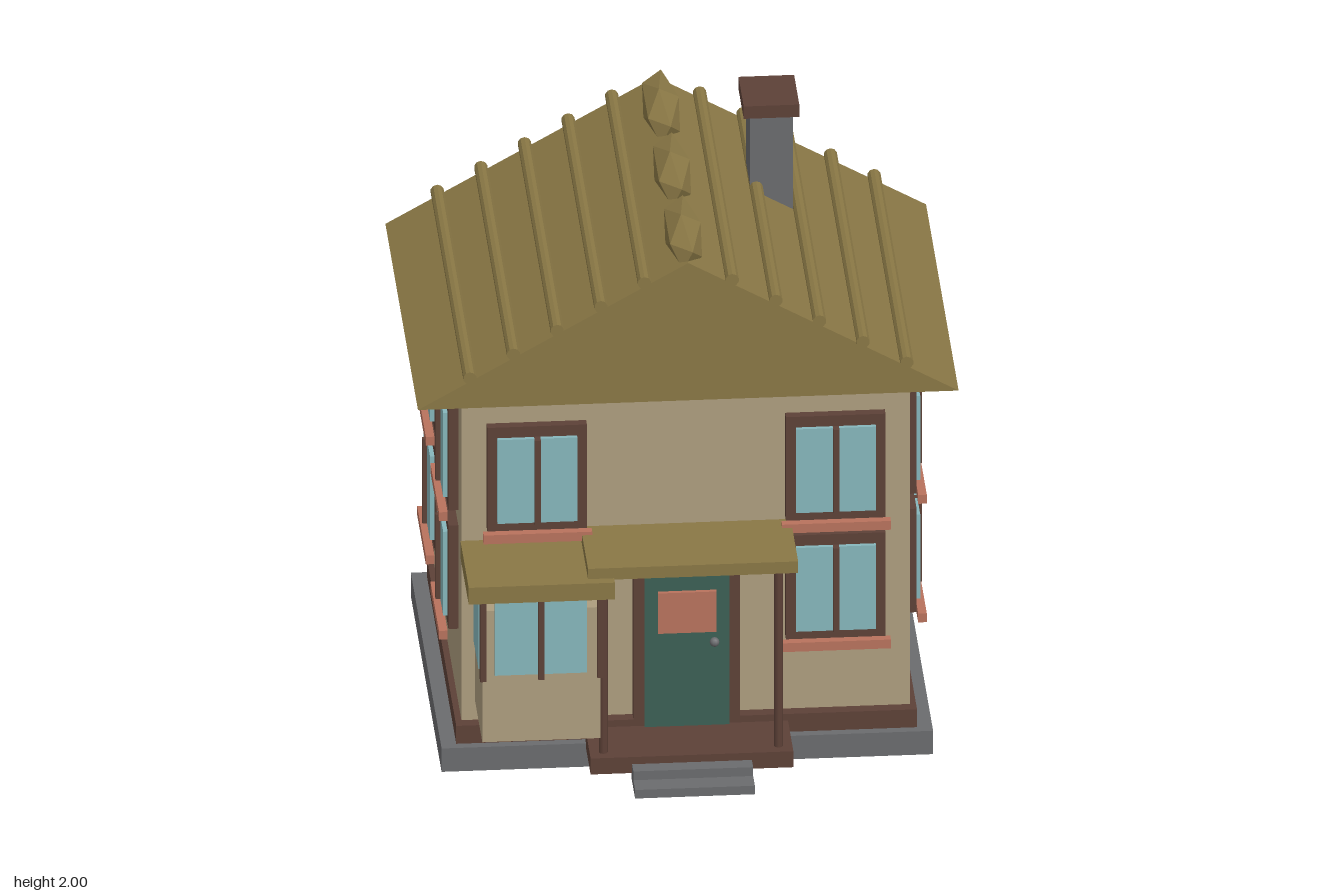
import * as THREE from 'three';

const mat = (name, color, extra = {}) => {
  const m = new THREE.MeshStandardMaterial({ color, ...extra });
  m.name = name;
  return m;
};

export function createModel() {
  const wall = mat('plaster', 0xad9d7e);
  const roofing = mat('roofing', 0x897745, { flatShading: true });
  const wood = mat('dark wood', 0x5d4137);
  const glass = mat('glass', 0x86b6bb);
  const green = mat('green', 0x3c5f54, { flatShading: true });
  const coral = mat('coral', 0xb8725d, { flatShading: true });
  const stone = mat('stone', 0x6a6b6e);
  const slate = mat('slate metal', 0x30434b);

  const house = new THREE.Group();
  house.name = 'house';

  const add = (parent, name, geo, material, x = 0, y = 0, z = 0) => {
    const m = new THREE.Mesh(geo, material);
    m.name = name;
    m.position.set(x, y, z);
    parent.add(m);
    return m;
  };
  // Box given by its limits on each axis
  const box = (parent, name, material, x0, x1, y0, y1, z0, z1) =>
    add(parent, name, new THREE.BoxGeometry(x1 - x0, y1 - y0, z1 - z0), material,
      (x0 + x1) / 2, (y0 + y1) / 2, (z0 + z1) / 2);
  const group = (name, parent = house) => {
    const g = new THREE.Group();
    g.name = name;
    parent.add(g);
    return g;
  };

  // Base and walls
  box(house, 'foundation', stone, -0.8, 0.8, 0, 0.085, -0.63, 0.63);
  box(house, 'baseboard', wood, -0.75, 0.75, 0.085, 0.15, -0.6, 0.6);
  box(house, 'walls', wall, -0.73, 0.73, 0.15, 1.345, -0.56, 0.56);

  // Gabled roof
  const gable = new THREE.Shape([[-0.88, 1.34], [0.88, 1.34], [0, 1.84]].map(p => new THREE.Vector2(...p)));
  add(house, 'roof', new THREE.ExtrudeGeometry(gable, { depth: 1.334, bevelEnabled: false }), roofing, 0, 0, -0.667);

  // Battens running along both slopes
  const batten = new THREE.CylinderGeometry(0.022, 0.022, 1.345, 10).rotateX(Math.PI / 2);
  for (const s of [-1, 1])
    for (let i = 0; i < 5; i++)
      add(house, 'roofBatten', batten, roofing, s * (0.143 + i * 0.142), 1.775 - i * 0.081, 0);

  // Faceted ridge caps
  for (const z of [-0.45, 0, 0.45]) {
    const cap = add(house, 'ridgeCap', new THREE.IcosahedronGeometry(0.068, 0), roofing, 0, 1.84, z);
    cap.rotation.z = -0.45;
    cap.scale.z = 3.55;
  }

  // Chimney
  box(house, 'chimney', stone, 0.265, 0.405, 1.5, 1.96, -0.31, -0.14);
  box(house, 'chimneyCap', wood, 0.243, 0.424, 1.955, 2.0, -0.333, -0.12);

  // Windows, built facing +z and then turned to their wall
  const addWindow = (x, y, z, turn) => {
    const g = group('window');
    box(g, 'windowFrame', wood, -0.162, 0.162, -0.19, 0.187, 0, 0.032);
    for (const s of [-1, 1])
      add(g, 'windowPane', new THREE.BoxGeometry(0.12, 0.305, 0.015), glass, s * 0.07, -0.004, 0.039);
    box(g, 'windowMullion', wood, -0.01, 0.01, -0.157, 0.149, 0.03, 0.062);
    box(g, 'windowSill', coral, -0.177, 0.177, -0.22, -0.188, 0.036, 0.064);
    g.position.set(x, y, z);
    g.rotation.y = turn;
  };
  for (const y of [1.04, 0.608]) {
    for (const s of [-1, 1]) {
      for (const z of [-0.27, 0.27]) addWindow(s * 0.73, y, z, s * Math.PI / 2);
      addWindow(s * 0.486, y, -0.56, Math.PI);
      if (y > 1 || s > 0) addWindow(s * 0.486, y, 0.56, 0);
    }
  }

  // Entrances, the same at front and back
  const addEntrance = (name, turn) => {
    const g = group(name);
    box(g, 'doorFrame', wood, -0.173, 0.173, 0.12, 0.78, 0.56, 0.6);
    box(g, 'door', green, -0.138, 0.138, 0.13, 0.735, 0.6, 0.618);
    box(g, 'doorPanel', coral, -0.095, 0.095, 0.475, 0.622, 0.618, 0.632);
    add(g, 'doorKnob', new THREE.SphereGeometry(0.016, 10, 8), stone, 0.088, 0.44, 0.635);
    box(g, 'porchFloor', wood, -0.33, 0.33, 0.068, 0.126, 0.585, 0.82);
    box(g, 'upperStep', stone, -0.195, 0.195, 0.068, 0.1, 0.72, 0.872);
    box(g, 'lowerStep', stone, -0.195, 0.195, 0.037, 0.068, 0.8, 0.942);
    box(g, 'canopy', roofing, -0.342, 0.342, 0.798, 0.84, 0.56, 0.865);
    for (const s of [-1, 1])
      add(g, 'porchPost', new THREE.CylinderGeometry(0.015, 0.015, 0.68, 8), wood, s * 0.285, 0.465, 0.775);
    g.rotation.y = turn;
  };
  addEntrance('frontEntrance', 0);
  addEntrance('backEntrance', Math.PI);

  // Bay window beside the front door
  const bay = group('bayWindow');
  box(bay, 'bayWall', wall, -0.685, -0.3, 0.215, 0.692, 0.55, 0.85);
  box(bay, 'bayRoof', roofing, -0.733, -0.257, 0.742, 0.803, 0.56, 0.897);
  box(bay, 'bayFrontGlass', glass, -0.645, -0.345, 0.46, 0.738, 0.85, 0.859);
  for (const x of [-0.69, -0.3])
    box(bay, 'baySideGlass', glass, x - 0.004, x + 0.006, 0.46, 0.73, 0.6, 0.805);
  for (const x of [-0.684, -0.495, -0.303])
    box(bay, 'bayMullion', wood, x - 0.01, x + 0.01, 0.45, 0.745, 0.858, 0.882);

  // Planter with three flowering shrubs
  const planter = group('planter');
  box(planter, 'planterBox', wood, -0.74, -0.37, 0.09, 0.212, -0.86, -0.63);
  for (const x of [-0.66, -0.555, -0.45]) {
    add(planter, 'shrub', new THREE.IcosahedronGeometry(0.062, 0), green, x, 0.265, -0.735);
    add(planter, 'bloom', new THREE.IcosahedronGeometry(0.043, 0), coral, x, 0.35, -0.735);
  }

  // Slatted cooling unit
  const unit = group('coolingUnit');
  box(unit, 'unitBody', slate, 0.41, 0.69, 0.085, 0.362, -0.8, -0.64);
  for (let i = 0; i < 4; i++) {
    const y = 0.13 + i * 0.063;
    box(unit, 'unitSlat', slate, 0.44, 0.655, y - 0.008, y + 0.008, -0.813, -0.8);
  }

  // Drainpipe with a slanted outlet
  const path = new THREE.CurvePath();
  const a = new THREE.Vector3(0.7, 1.345, -0.625);
  const b = new THREE.Vector3(0.7, 0.13, -0.625);
  const c = new THREE.Vector3(0.7, 0.075, -0.785);
  for (const [p, q] of [[a, b], [b, c]]) {
    const pipe = add(house, 'drainpipe', new THREE.CylinderGeometry(0.021, 0.021, p.distanceTo(q), 10), slate);
    pipe.position.copy(p).lerp(q, 0.5);
    pipe.quaternion.setFromUnitVectors(new THREE.Vector3(0, 1, 0), p.clone().sub(q).normalize());
  }
  add(house, 'pipeElbow', new THREE.SphereGeometry(0.022, 10, 8), slate, b.x, b.y, b.z);

  return house;
}
